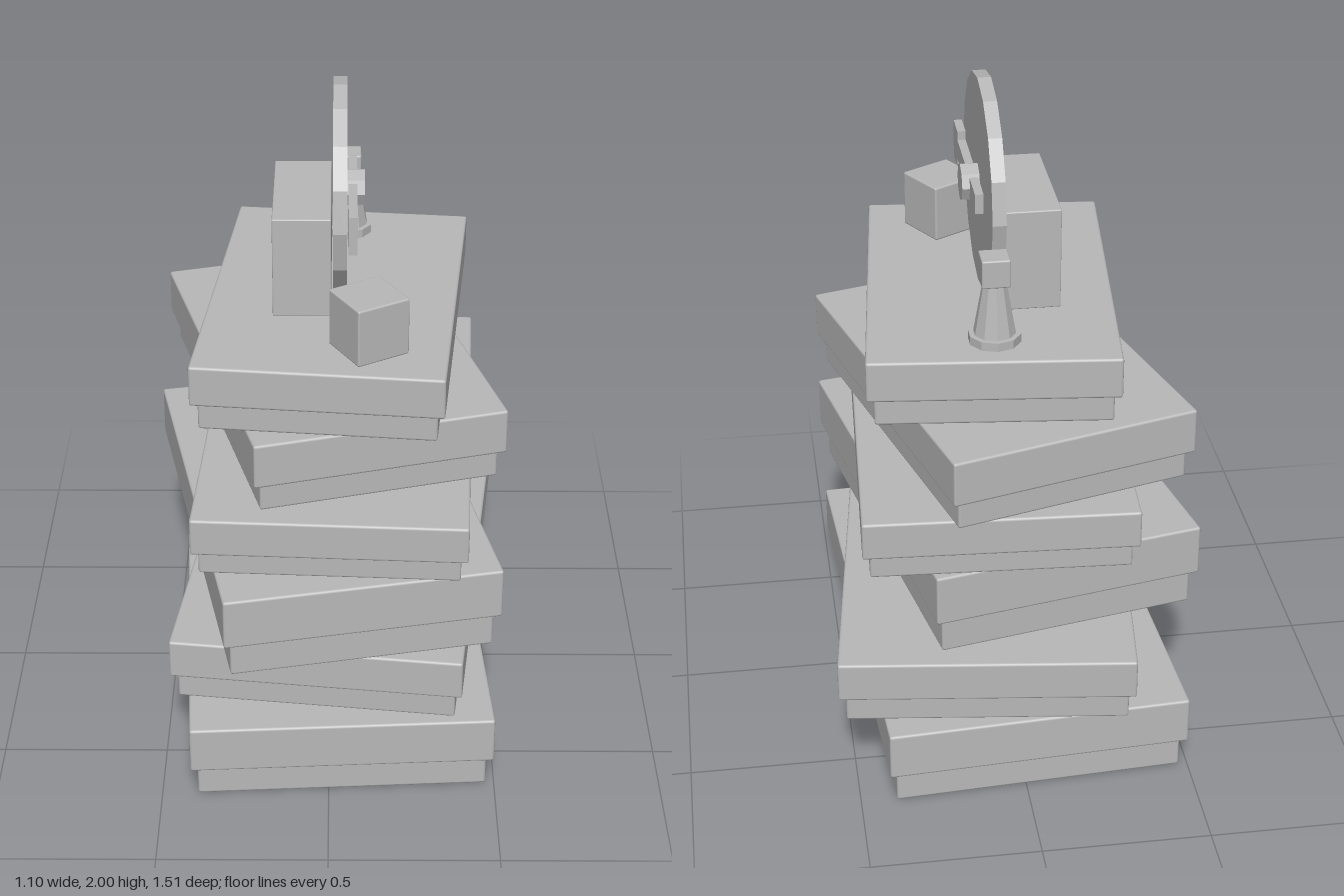
import * as THREE from 'three';
import { RoundedBoxGeometry } from 'three/addons/geometries/RoundedBoxGeometry.js';

const grey = new THREE.MeshStandardMaterial({ color: 0xb8b8b8 });
grey.name = 'plain grey';
const facetedGrey = grey;

// Flat-faced copy of a geometry, so facets stay crisp
function faceted(geometry) {
  const flat = geometry.toNonIndexed();
  flat.computeVertexNormals();
  return flat;
}

function part(parent, name, geometry, x, y, z) {
  const mesh = new THREE.Mesh(geometry, facetedGrey);
  mesh.name = name;
  mesh.position.set(x, y, z);
  parent.add(mesh);
  return mesh;
}

const softBox = (w, h, d, r = 0.008) => new RoundedBoxGeometry(w, h, d, 2, r);

// A game box: a narrower tray under a wider lid, turned on the stack
function gameBox(name, { w, d, y0, seam, y1, x, z, turn }) {
  const box = new THREE.Group();
  box.name = name;
  box.position.set(x, 0, z);
  box.rotation.y = turn;
  const inset = 0.042;
  part(box, 'tray', softBox(w - inset, seam - y0 + 0.02, d - inset), 0, (y0 + seam + 0.02) / 2, 0);
  part(box, 'lid', softBox(w, y1 - seam, d), 0, (seam + y1) / 2, 0);
  return box;
}

export function createModel() {
  const model = new THREE.Group();
  model.name = 'stackOfGameBoxes';

  // Six boxes, bottom to top
  const boxes = [
    { w: 0.91, d: 1.41, y0: 0, seam: 0.1, y1: 0.25, x: 0, z: -0.005, turn: 0.06 },
    { w: 0.876, d: 1.334, y0: 0.25, seam: 0.335, y1: 0.46, x: 0.038, z: -0.04, turn: -0.12 },
    { w: 0.827, d: 1.256, y0: 0.46, seam: 0.57, y1: 0.73, x: -0.022, z: 0.055, turn: 0.203 },
    { w: 0.8, d: 1.292, y0: 0.73, seam: 0.805, y1: 0.922, x: 0.034, z: -0.004, turn: -0.052 },
    { w: 0.758, d: 1.138, y0: 0.922, seam: 1.01, y1: 1.15, x: 0, z: -0.06, turn: 0.274 },
    { w: 0.724, d: 1.07, y0: 1.15, seam: 1.235, y1: 1.36, x: 0.018, z: 0.013, turn: -0.1 },
  ];
  boxes.forEach((spec, i) => model.add(gameBox('gameBox' + (i + 1), spec)));

  const top = 1.36;

  // Upright card box behind the spinner
  part(model, 'cardBox', softBox(0.17, 0.31, 0.415, 0.004), -0.08, top + 0.155, -0.005);

  // Die, turned on the lid
  const die = part(model, 'die', softBox(0.168, 0.175, 0.166, 0.006), 0.1125, top + 0.0875, 0.395);
  die.rotation.y = 0.53;

  // Spinner: a standing disc with its pointer on the +x face
  const spinner = new THREE.Group();
  spinner.name = 'spinner';
  spinner.position.y = 1.68;
  model.add(spinner);
  const sideways = (r, length, sides) =>
    faceted(new THREE.CylinderGeometry(r, r, length, sides).rotateZ(Math.PI / 2));
  part(spinner, 'disc', sideways(0.32, 0.04, 16), 0.03, 0, 0);
  part(spinner, 'pointerBar', new THREE.BoxGeometry(0.025, 0.06, 0.41), 0.067, 0, 0.04);
  part(spinner, 'pointerHead', new THREE.BoxGeometry(0.025, 0.115, 0.092), 0.067, 0, 0.285);
  part(spinner, 'hub', sideways(0.056, 0.055, 8), 0.0745, 0, 0);

  // Pawn: foot, tapering body and square head
  const pawn = new THREE.Group();
  pawn.name = 'pawn';
  pawn.position.set(0.054, top, -0.387);
  model.add(pawn);
  part(pawn, 'foot', faceted(new THREE.CylinderGeometry(0.077, 0.077, 0.026, 10)), 0, 0.013, 0);
  part(pawn, 'body', faceted(new THREE.CylinderGeometry(0.034, 0.062, 0.16, 10)), 0, 0.104, 0);
  part(pawn, 'head', softBox(0.082, 0.085, 0.08, 0.005), 0, 0.222, 0);

  return model;
}
